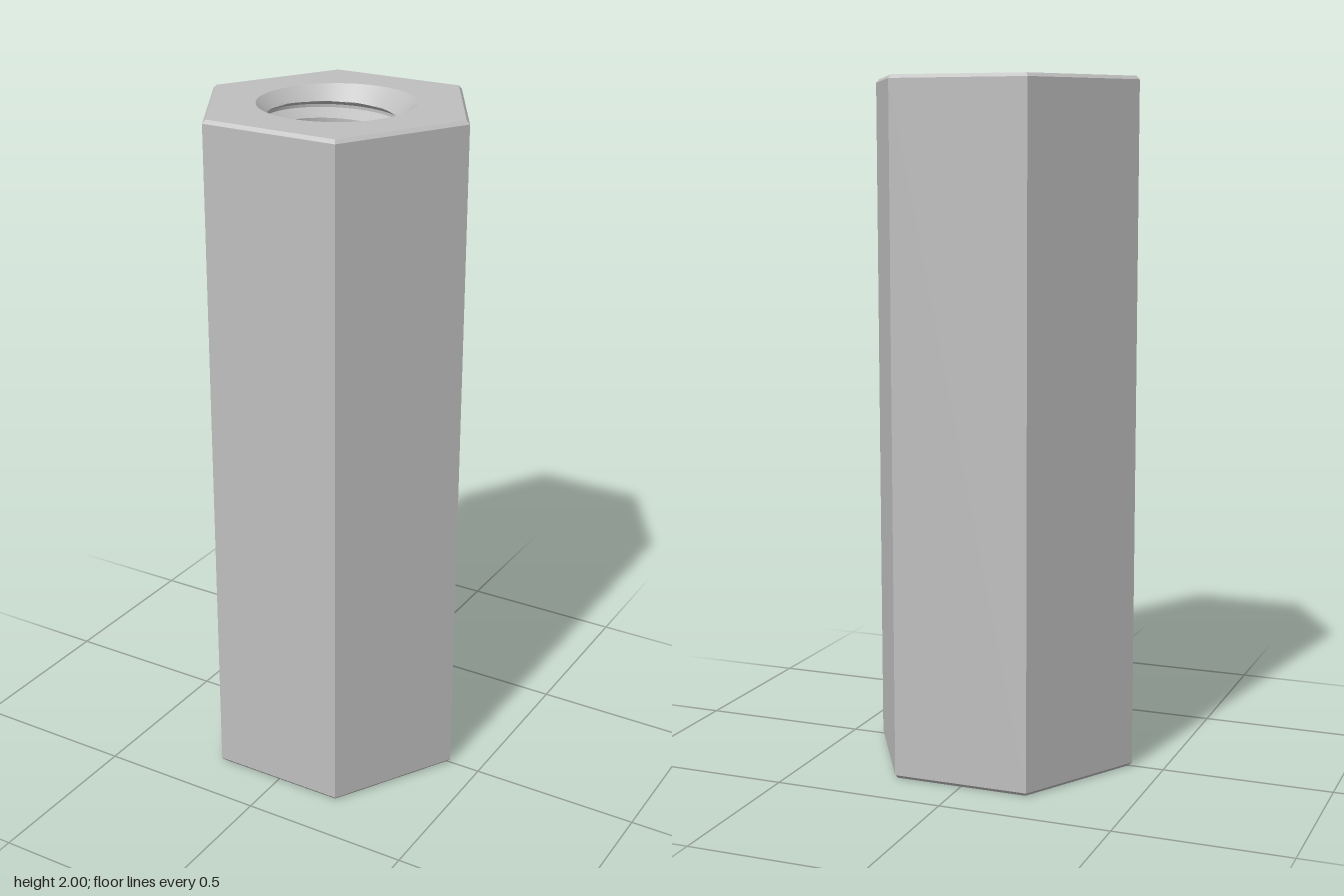
import * as THREE from 'three';
import { toCreasedNormals } from 'three/addons/utils/BufferGeometryUtils.js';

const HEIGHT = 2, CORNER = 0.404, CHAMFER = 0.01;
const MINOR = 0.163, MAJOR = 0.2, MOUTH = 0.22, PITCH = 0.07;
const SIDES = 64;

// Thread radius over one pitch: crest flat, flank, root flat, flank
function threadRadius(t) {
  const depth = MAJOR - MINOR;
  if (t <= 0.25) return MINOR;
  if (t < 0.5625) return MINOR + depth * (t - 0.25) / 0.3125;
  if (t <= 0.6875) return MAJOR;
  return MAJOR - depth * (t - 0.6875) / 0.3125;
}

// Threaded bore with a 45 degree countersink at both ends
function boreGeometry() {
  const start = 1.943 - 30 * PITCH;
  const rows = [];
  for (let k = 0; k < 32; k++) {
    // finer rows near the ends, where the countersink cuts the thread
    const nearEnd = k < 5 || k > 27;
    const steps = nearEnd ? Array.from({ length: 32 }, (_, i) => i / 32) : [0, 0.25, 0.5625, 0.6875];
    steps.forEach(t => rows.push({ y: start + k * PITCH + t * PITCH, r: threadRadius(t) }));
  }
  const point = (row, i) => {
    const a = i / SIDES * Math.PI * 2;
    const y = THREE.MathUtils.clamp(row.y + i / SIDES * PITCH, 0, HEIGHT);
    const r = Math.max(row.r, MOUTH - y, MOUTH - (HEIGHT - y));
    const end = y === 0 || y === HEIGHT;
    const radius = end ? MOUTH : r;
    return new THREE.Vector3(radius * Math.cos(a), y, -radius * Math.sin(a));
  };
  const positions = [];
  const tri = (...corners) => {
    const [a, b, c] = corners;
    const area = b.clone().sub(a).cross(c.clone().sub(a)).length();
    if (area > 1e-9) corners.forEach(p => positions.push(p.x, p.y, p.z));
  };
  for (let j = 0; j < rows.length - 1; j++) {
    for (let i = 0; i < SIDES; i++) {
      const a = point(rows[j], i), b = point(rows[j], i + 1);
      const c = point(rows[j + 1], i + 1), d = point(rows[j + 1], i);
      tri(a, c, b);
      tri(a, d, c);
    }
  }
  const geometry = new THREE.BufferGeometry();
  geometry.setAttribute('position', new THREE.Float32BufferAttribute(positions, 3));
  return toCreasedNormals(geometry, 0.45);
}

// Hexagonal sides with a small chamfer at each end
function sidesGeometry() {
  const inner = CORNER - CHAMFER;
  const profile = [
    [inner, 0], [CORNER, CHAMFER], [CORNER, HEIGHT - CHAMFER], [inner, HEIGHT],
  ].map(p => new THREE.Vector2(...p));
  const geometry = new THREE.LatheGeometry(profile, 6, Math.PI / 2).toNonIndexed();
  geometry.computeVertexNormals();
  return geometry;
}

// Flat hexagonal end face with a round opening
function endGeometry() {
  const shape = new THREE.Shape();
  const corners = Array.from({ length: 6 }, (_, i) => {
    const a = i * Math.PI / 3;
    return new THREE.Vector2(Math.cos(a), Math.sin(a)).multiplyScalar(CORNER - CHAMFER);
  });
  shape.setFromPoints(corners);
  const hole = new THREE.Path();
  hole.absarc(0, 0, MOUTH, 0, Math.PI * 2, true);
  shape.holes.push(hole);
  return new THREE.ShapeGeometry(shape, SIDES);
}

export function createModel() {
  const steel = new THREE.MeshStandardMaterial({ color: 0xbfbfbf });
  steel.name = 'steel grey';

  const model = new THREE.Group();
  model.name = 'hexStandoff';
  const add = (name, geometry) => {
    const mesh = new THREE.Mesh(geometry, steel);
    mesh.name = name;
    model.add(mesh);
  };

  add('hexSides', sidesGeometry());
  add('topFace', endGeometry().rotateX(-Math.PI / 2).translate(0, HEIGHT, 0));
  add('bottomFace', endGeometry().rotateX(Math.PI / 2));
  add('threadedBore', boreGeometry());
  return model;
}
